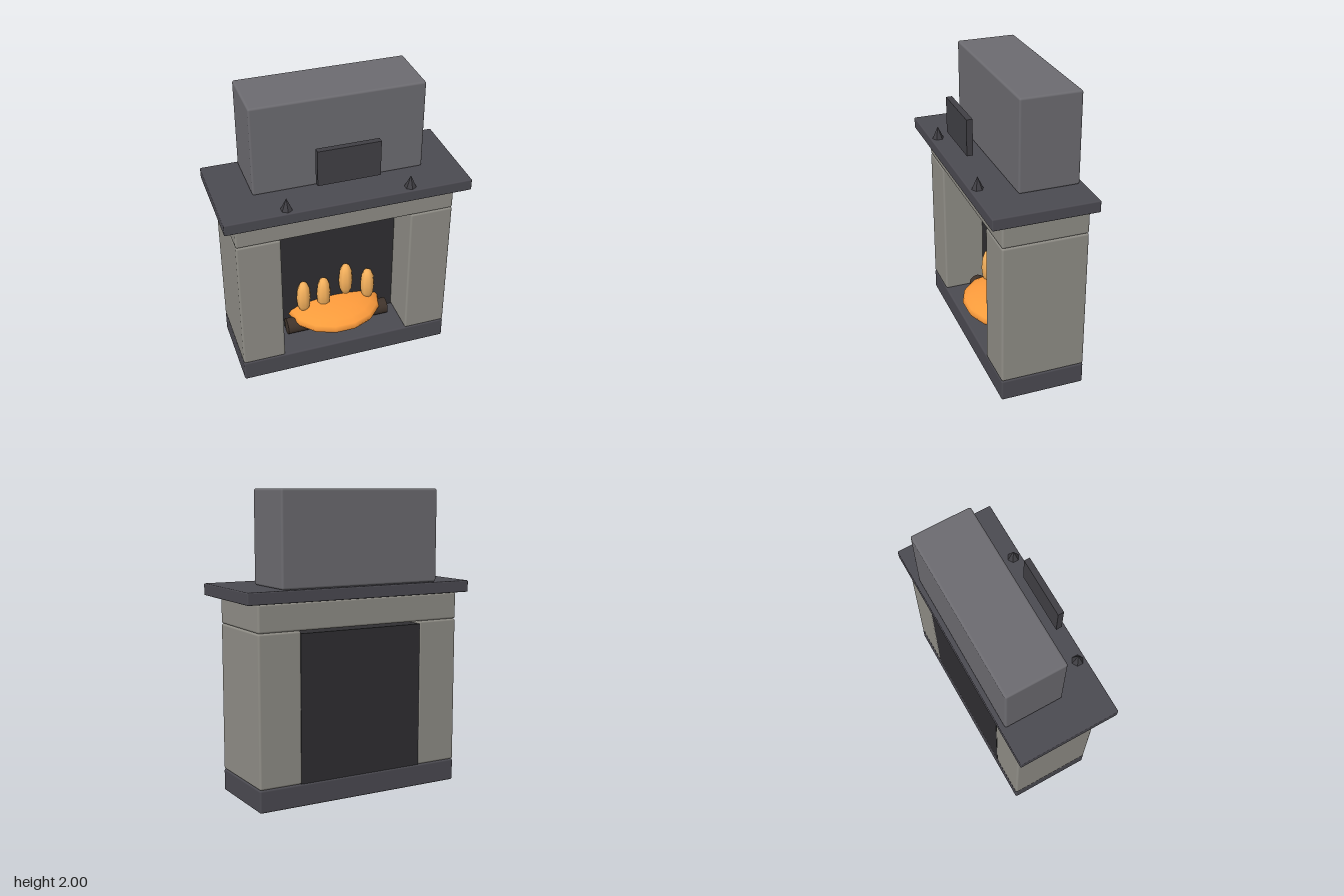
import * as THREE from 'three';
import { RoundedBoxGeometry } from 'three/addons/geometries/RoundedBoxGeometry.js';

const mat = (color, flatShading = false) => {
  const m = new THREE.MeshStandardMaterial({ flatShading });
  m.color.set(color);
  return m;
};

export function createModel() {
  const group = new THREE.Group();
  const dark = mat(0x4b4a51), stone = mat(0x8f8d86), slate = mat(0x6c6b70);
  const soot = mat(0x2f2e31), iron = mat(0x403f44), ironFlat = mat(0x403f44, true);
  const bark = mat(0x40342c), glow = mat(0xff9c3c), fire = mat(0xfab45e);

  const add = (name, geometry, material, x, y, z) => {
    const mesh = new THREE.Mesh(geometry, material);
    mesh.name = name;
    mesh.position.set(x, y, z);
    group.add(mesh);
    return mesh;
  };
  // Block given by its limits on each axis; r rounds the edges
  const block = (name, material, [x0, x1], [y0, y1], [z0, z1], r = 0) => {
    const size = [x1 - x0, y1 - y0, z1 - z0];
    const geometry = r ? new RoundedBoxGeometry(...size, 2, r) : new THREE.BoxGeometry(...size);
    return add(name, geometry, material, (x0 + x1) / 2, (y0 + y1) / 2, (z0 + z1) / 2);
  };

  // Stone surround
  const depth = [-0.315, 0.255];
  block('hearthBase', dark, [-0.735, 0.735], [0, 0.148], depth, 0.012);
  block('leftPillar', stone, [0.442, 0.735], [0.148, 1.13], depth, 0.014);
  block('rightPillar', stone, [-0.735, -0.442], [0.148, 1.13], depth, 0.014);
  block('lintel', stone, [-0.735, 0.735], [1.13, 1.31], depth, 0.014);
  block('mantelShelf', dark, [-0.815, 0.815], [1.31, 1.388], [-0.345, 0.345], 0.008);
  block('chimneyBreast', slate, [-0.57, 0.57], [1.388, 2], [-0.315, 0.088], 0.014);
  block('fireboxBack', soot, [-0.445, 0.445], [0.148, 1.113], [-0.313, -0.03]);

  // Mantel ornaments
  block('plaque', iron, [-0.205, 0.205], [1.515, 1.757], [0.25, 0.29]);
  for (const s of [-1, 1])
    add(s > 0 ? 'leftSpike' : 'rightSpike', new THREE.ConeGeometry(0.04, 0.085, 6), ironFlat, s * 0.408, 1.428, 0.293);

  // Fire
  const log = add('log', new THREE.CylinderGeometry(0.058, 0.058, 0.74, 12), bark, 0, 0.207, 0.04);
  log.rotation.z = Math.PI / 2;
  add('emberBed', new THREE.SphereGeometry(1, 14, 10), glow, 0, 0.255, -0.03).scale.set(0.335, 0.087, 0.286);
  const flames = [[-0.23, 0.41], [-0.083, 0.41], [0.08, 0.493], [0.243, 0.41]];
  flames.forEach(([x, y], i) =>
    add('flame' + (i + 1), new THREE.SphereGeometry(1, 8, 6), fire, x, y, 0).scale.set(0.052, 0.135, 0.052));

  return group;
}
